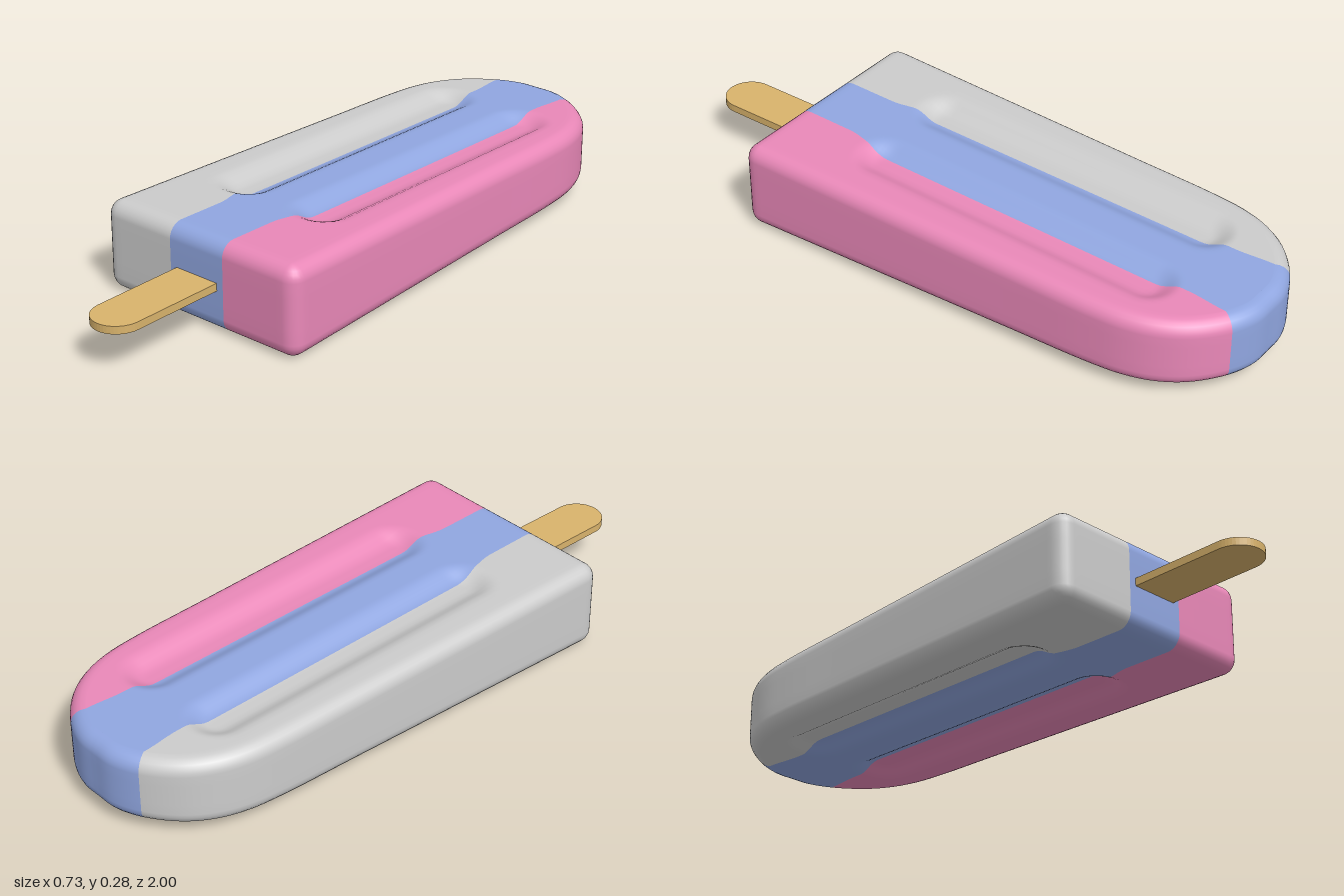
import * as THREE from 'three';
import { mergeVertices } from 'three/addons/utils/BufferGeometryUtils.js';

const R = 0.045;      // edge rounding
const MID = 0.14;     // height of the horizontal symmetry plane
const COLS = 10;      // columns per half stripe
const STEPS = 8;      // samples per outline control point
const { smoothstep, lerp, clamp } = THREE.MathUtils;

// half thickness, tapering towards the rounded tip
const halfThickness = z => lerp(0.14, 0.106, clamp((0.62 - z) / 1.62, 0, 1));

// two long pressed grooves with round ends
function groove(x, z) {
  const dz = z - clamp(z, -0.68, 0.25);
  const d = Math.hypot(x - 0.145, dz);
  return 0.028 * (1 - smoothstep(d, 0.025, 0.1));
}

// x of the border between the middle stripe and the side stripes
const border = z => 0.12 - 0.02 * smoothstep(z, 0.3, 0.42) + 0.01 * (1 - smoothstep(z, -0.925, -0.8));

function createIce() {
  // plan outline of one half, inset by R: straight side, then rounded tip
  const straight = [0.575, 0.45, 0.35, 0.25, 0.15, -0.1, -0.35, -0.6];
  const side = straight.map(z => [0.291 + 0.0235 * (z + 0.6), z]);
  const tip = [[0.28, -0.71], [0.255, -0.79], [0.21, -0.86], [0.13, -0.925], [0.06, -0.953], [0, -0.955]];
  const control = [...side, ...tip].map(([x, z]) => new THREE.Vector3(x, 0, z));
  const curve = new THREE.CatmullRomCurve3(control);
  const count = (control.length - 1) * STEPS;
  const pts = curve.getPoints(count);
  const tipStart = (control.length - 3) * STEPS;   // the middle stripe reaches the rim here

  const lists = { left: [], middle: [], right: [] };
  // adds a quad of the upper +x quarter and its three mirror images
  function quad(corners, isMiddle) {
    for (const sx of [1, -1]) for (const sy of [1, -1]) {
      const list = isMiddle ? lists.middle : sx > 0 ? lists.left : lists.right;
      const q = corners.map(p => [p[0] * sx, p[1] * sy + MID, p[2]]);
      if (sx * sy < 0) q.reverse();
      for (const i of [0, 1, 2, 0, 2, 3]) list.push(...q[i]);
    }
  }

  // broad face: one row of columns per outline point
  const rows = pts.map((p, k) => {
    const b = k >= tipStart ? p.x : Math.min(border(p.z), p.x);
    return Array.from({ length: 2 * COLS + 1 }, (_, c) => {
      const x = c <= COLS ? b * c / COLS : lerp(b, p.x, c / COLS - 1);
      return [x, halfThickness(p.z) - groove(x, p.z), p.z];
    });
  });
  for (let k = 0; k < count; k++) for (let c = 0; c < 2 * COLS; c++)
    quad([rows[k][c], rows[k][c + 1], rows[k + 1][c + 1], rows[k + 1][c]], c < COLS);

  // rim path: front edge, corner fan, side and tip, each with an outward direction
  const rim = rows[0].map(([x, , z], c) => ({ x, z, nx: 0, nz: 1, middle: c < COLS }));
  for (let i = 1; i < 6; i++) {
    const a = i / 6 * Math.PI / 2;
    rim.push({ x: pts[0].x, z: pts[0].z, nx: Math.sin(a), nz: Math.cos(a), middle: false });
  }
  pts.forEach((p, k) => {
    const t = curve.getTangent(k / count);
    const nx = k === count ? 0 : -t.z, nz = k === count ? -1 : t.x;
    const l = Math.hypot(nx, nz);
    rim.push({ x: p.x, z: p.z, nx: nx / l, nz: nz / l, middle: k >= tipStart });
  });

  // rounded edge and wall below it
  const sections = rim.map(({ x, z, nx, nz }) => {
    const h = halfThickness(z) - R, s = [];
    for (let i = 0; i <= 6; i++) {
      const a = i / 6 * Math.PI / 2;
      s.push([x + nx * R * Math.sin(a), h + R * Math.cos(a), z + nz * R * Math.sin(a)]);
    }
    const e = s[6];
    s.push([e[0], h / 2, e[2]], [e[0], 0, e[2]]);
    return s;
  });
  for (let k = 0; k < rim.length - 1; k++) for (let i = 0; i < 8; i++)
    quad([sections[k][i], sections[k][i + 1], sections[k + 1][i + 1], sections[k + 1][i]], rim[k].middle);

  // shared smooth normals, then one mesh per stripe
  const whole = new THREE.BufferGeometry();
  const all = [lists.left, lists.middle, lists.right].flat();
  whole.setAttribute('position', new THREE.Float32BufferAttribute(all, 3));
  const merged = mergeVertices(whole, 1e-4);
  merged.computeVertexNormals();
  const ice = new THREE.Group();
  ice.name = 'ice';
  const colors = { left: 0xe988b8, middle: 0x90a6e0, right: 0xcccccc };
  let start = 0;
  for (const name of ['left', 'middle', 'right']) {
    const n = lists[name].length / 3;
    const g = new THREE.BufferGeometry();
    g.setAttribute('position', merged.attributes.position);
    g.setAttribute('normal', merged.attributes.normal);
    g.setIndex(Array.from(merged.index.array.slice(start, start + n)));
    start += n;
    const mesh = new THREE.Mesh(g, new THREE.MeshStandardMaterial({ color: colors[name] }));
    mesh.name = name + 'Stripe';
    ice.add(mesh);
  }
  return ice;
}

// flat wooden stick with a round end
function createStick() {
  const w = 0.077;
  const shape = new THREE.Shape();
  shape.moveTo(-w, -0.5);
  shape.lineTo(-w, -1 + w);
  shape.absarc(0, -1 + w, w, Math.PI, 2 * Math.PI, false);
  shape.lineTo(w, -0.5);
  shape.closePath();
  const g = new THREE.ExtrudeGeometry(shape, { depth: 0.024, bevelEnabled: false, curveSegments: 12 });
  g.rotateX(-Math.PI / 2);
  g.translate(0, 0.13, 0);
  const mesh = new THREE.Mesh(g, new THREE.MeshStandardMaterial({ color: 0xd9b36c }));
  mesh.name = 'stick';
  return mesh;
}

export function createModel() {
  const model = new THREE.Group();
  model.name = 'icePop';
  model.add(createIce(), createStick());
  return model;
}
